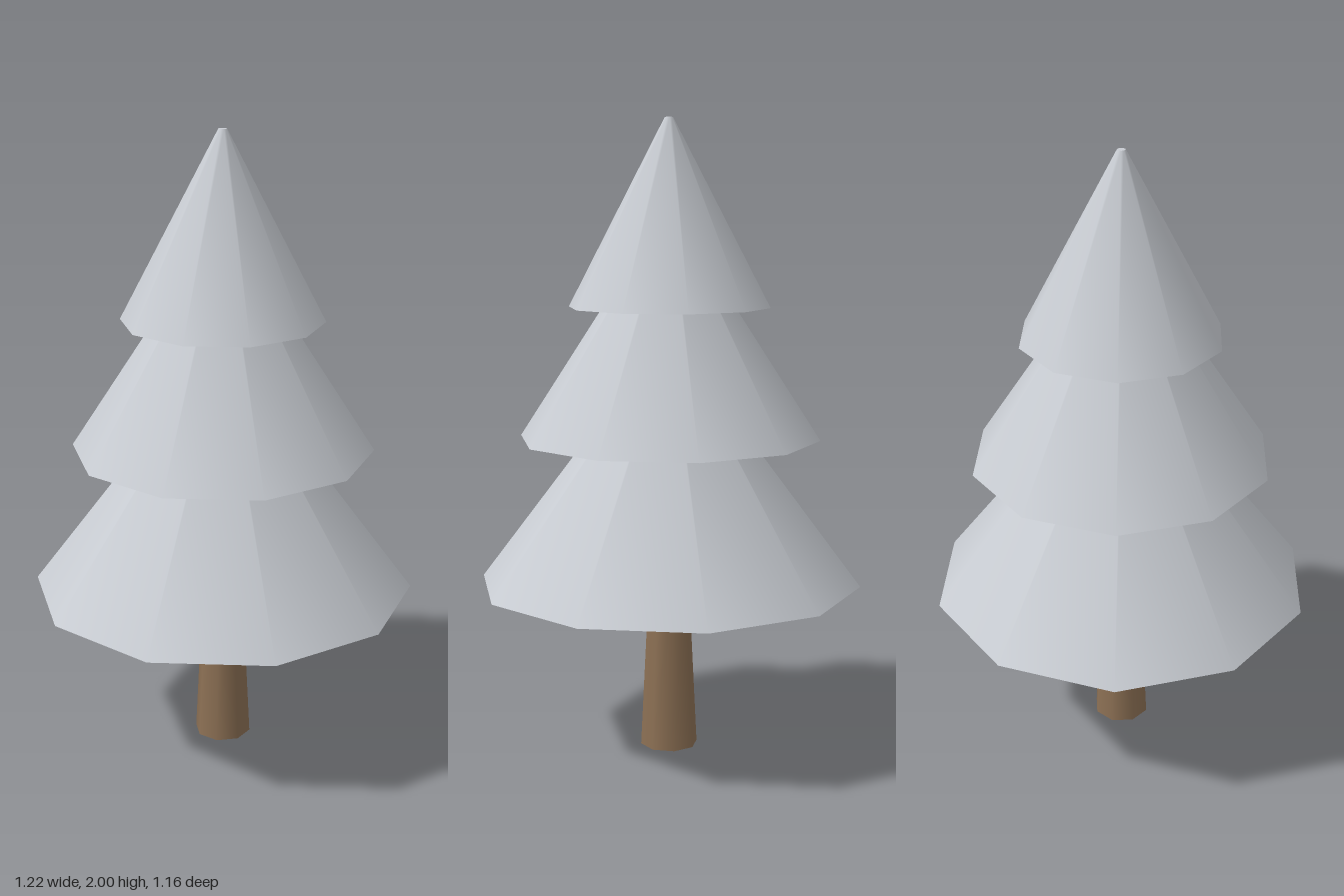
import * as THREE from 'three';

export function createModel() {
  const tree = new THREE.Group();
  tree.name = 'tree';

  const foliage = new THREE.MeshStandardMaterial({ color: 0xc8ccd2 });
  foliage.name = 'pale grey foliage';
  const bark = new THREE.MeshStandardMaterial({ color: 0x8c7054 });
  bark.name = 'brown bark';

  // Tapered, capped section standing between two heights, with corners on the x axis
  function addSection(name, material, sides, bottomY, topY, bottomR, topR) {
    const geometry = new THREE.CylinderGeometry(
      topR, bottomR, topY - bottomY, sides, 1, false, Math.PI / 2);
    geometry.translate(0, (bottomY + topY) / 2, 0);
    const mesh = new THREE.Mesh(geometry, material);
    mesh.name = name;
    tree.add(mesh);
  }

  addSection('trunk', bark, 8, 0, 0.56, 0.092, 0.064);

  // Three overlapping tiers of branches; the top one ends in a tiny blunt tip
  addSection('lowerBranches', foliage, 10, 0.54, 1.33, 0.61, 0.013);
  addSection('middleBranches', foliage, 10, 1.005, 1.72, 0.478, 0.013);
  addSection('upperBranches', foliage, 10, 1.418, 2, 0.318, 0.013);

  return tree;
}
